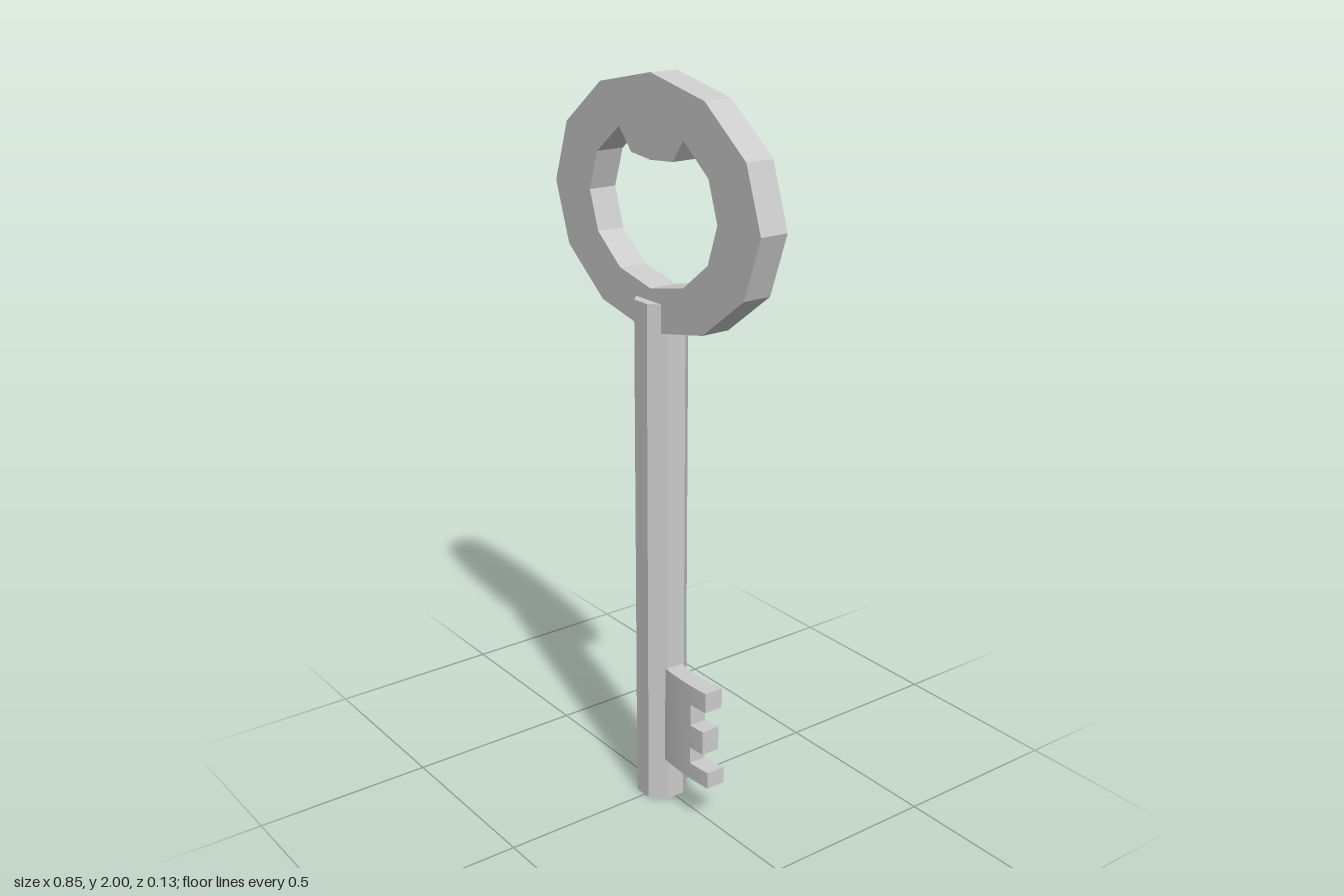
import * as THREE from 'three';
import { toCreasedNormals } from 'three/addons/utils/BufferGeometryUtils.js';

const material = new THREE.MeshStandardMaterial({ color: 0xcccccc, flatShading: true });
const smoothMaterial = new THREE.MeshStandardMaterial({ color: 0xcccccc });

function addMesh(parent, name, geometry, mat = material) {
  const mesh = new THREE.Mesh(geometry, mat);
  mesh.name = name;
  parent.add(mesh);
  return mesh;
}

// Twelve-sided oval, corners counter-clockwise from +x
function oval(rx, ry, cy) {
  return Array.from({ length: 12 }, (_, i) => {
    const a = (i * Math.PI) / 6;
    return new THREE.Vector2(rx * Math.cos(a), cy + ry * Math.sin(a));
  });
}

// Plan section of the gently bowed bit between x0 and x1, extruded from y0 to y1
function bitSlab(x0, x1, y0, y1) {
  const bow = (x) => ((x - 0.14) / 0.1) ** 2;
  const front = [], back = [];
  const steps = 6;
  for (let i = 0; i <= steps; i++) {
    const x = x0 + ((x1 - x0) * i) / steps;
    front.push(new THREE.Vector2(x, -(0.037 - 0.006 * bow(x))));
    back.push(new THREE.Vector2(x, -(-0.012 - 0.013 * bow(x))));
  }
  const shape = new THREE.Shape([...front, ...back.reverse()]);
  const geo = new THREE.ExtrudeGeometry(shape, { depth: y1 - y0, bevelEnabled: false });
  geo.rotateX(-Math.PI / 2).translate(0, y0, 0);
  return toCreasedNormals(geo, Math.PI / 6);
}

export function createModel() {
  const key = new THREE.Group();
  key.name = 'key';

  // Oval handle with a dip at the top of its opening
  const bow = new THREE.Shape(oval(0.424, 0.325, 1.675));
  const opening = oval(0.265, 0.208, 1.675);
  opening.splice(2, 3,
    new THREE.Vector2(0.132, 1.855),
    new THREE.Vector2(0.09, 1.798),
    new THREE.Vector2(0, 1.79),
    new THREE.Vector2(-0.08, 1.798),
    new THREE.Vector2(-0.132, 1.855));
  bow.holes.push(new THREE.Path(opening));
  const bowGeo = new THREE.ExtrudeGeometry(bow, { depth: 0.08, bevelEnabled: false });
  addMesh(key, 'handle', bowGeo.translate(0, 0, -0.04));

  // Eight-sided shaft
  const shaftGeo = new THREE.CylinderGeometry(0.071, 0.071, 1.435, 8);
  shaftGeo.rotateY(Math.PI / 8).translate(-0.009, 1.435 / 2, 0);
  addMesh(key, 'shaft', shaftGeo);

  // Bit: a plate with three teeth
  const bit = new THREE.Group();
  bit.name = 'bit';
  addMesh(bit, 'bitPlate', bitSlab(0.03, 0.17, 0.127, 0.412), smoothMaterial);
  const teeth = [
    [0.23, 0.355, 0.412],
    [0.22, 0.223, 0.292],
    [0.24, 0.127, 0.175],
  ];
  for (const [tip, y0, y1] of teeth) addMesh(bit, 'tooth', bitSlab(0.17, tip, y0, y1), smoothMaterial);
  key.add(bit);

  return key;
}
